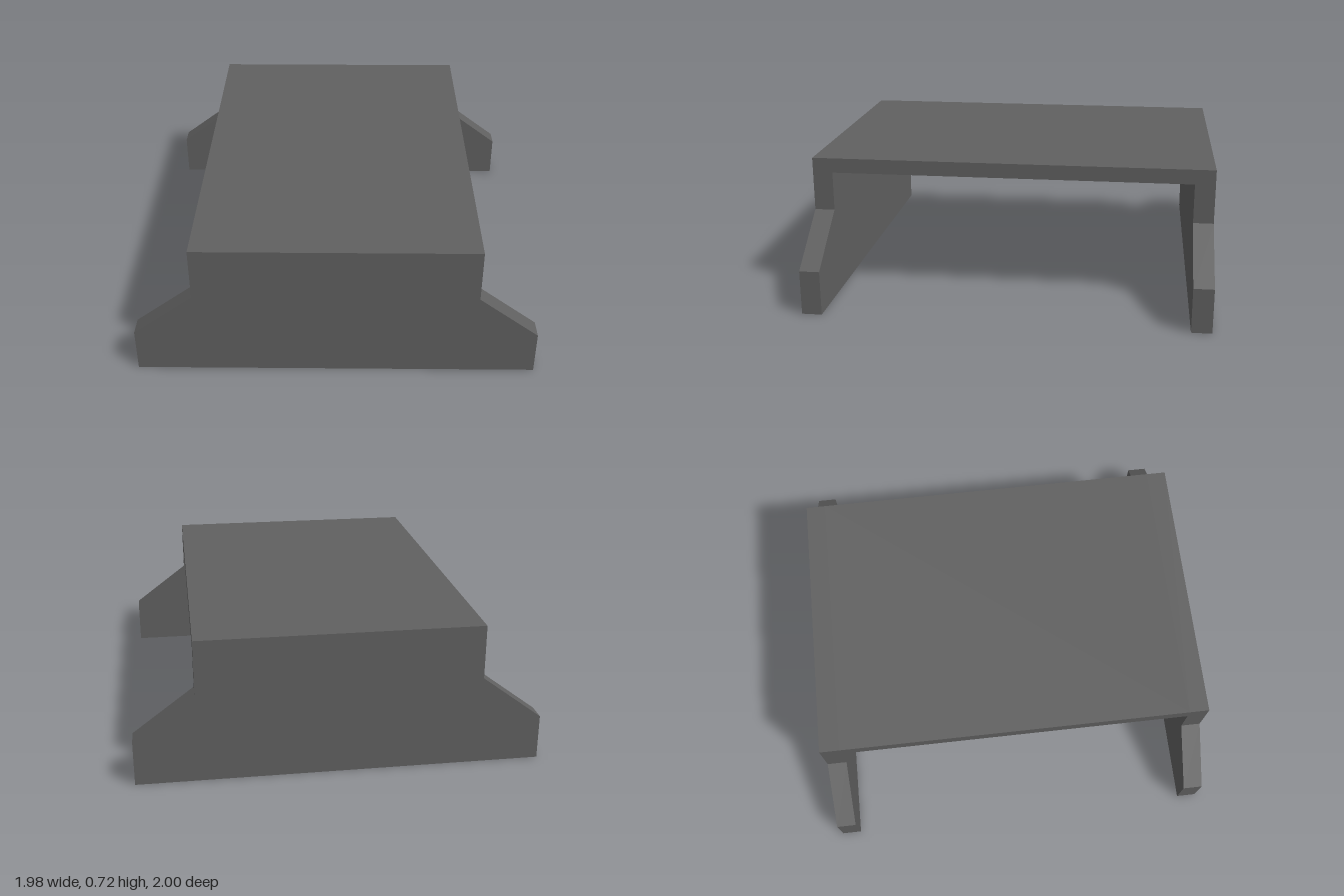
import * as THREE from 'three';

export function createModel() {
  const group = new THREE.Group();
  const material = new THREE.MeshStandardMaterial({ color: 0x606060, flatShading: true });

  const height = 0.717, deckHalf = 0.692, footHalf = 0.99;
  const wall = 0.1, deckThickness = 0.074;

  // End walls: upright panels that flare out to wide feet
  const half = [[footHalf, 0], [footHalf, 0.224], [deckHalf, 0.447], [deckHalf, height]];
  const outline = [...half, ...half.map(([x, y]) => [-x, y]).reverse()];
  const shape = new THREE.Shape(outline.map(([x, y]) => new THREE.Vector2(x, y)));
  const wallGeometry = new THREE.ExtrudeGeometry(shape, { depth: wall, bevelEnabled: false });

  for (const [name, z] of [['frontWall', 1 - wall], ['backWall', -1]]) {
    const mesh = new THREE.Mesh(wallGeometry, material);
    mesh.name = name;
    mesh.position.z = z;
    group.add(mesh);
  }

  // Deck: flat slab spanning between the walls
  const deck = new THREE.Mesh(
    new THREE.BoxGeometry(deckHalf * 2, deckThickness, 2 - wall * 2), material);
  deck.name = 'deck';
  deck.position.y = height - deckThickness / 2;
  group.add(deck);

  return group;
}
